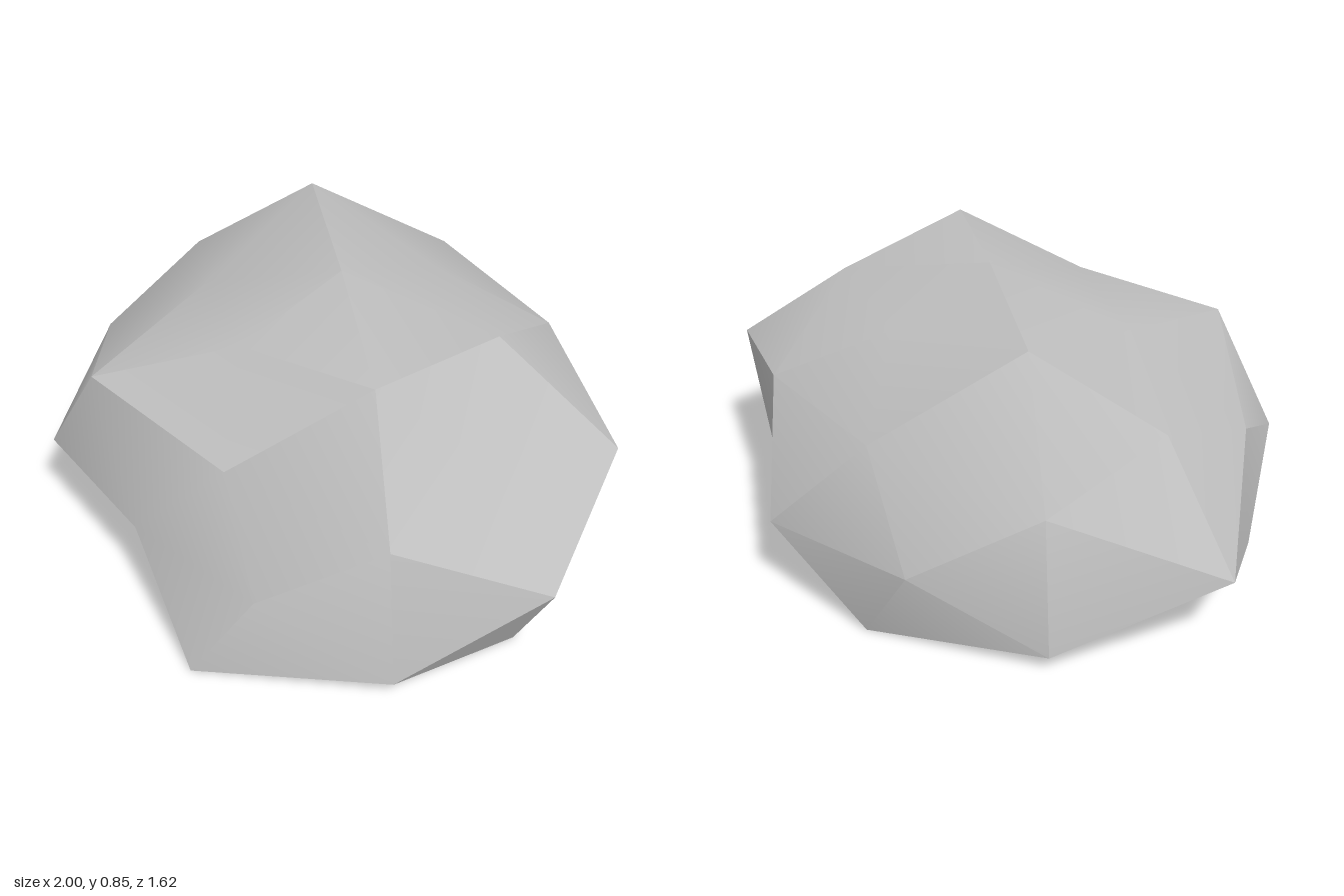
import * as THREE from 'three';
import { toCreasedNormals } from 'three/addons/utils/BufferGeometryUtils.js';

// Boulder radii for each family of sphere directions. Within a family the radii
// follow the signs of the non-zero axes: + before -, with z changing fastest.
const FAMILIES = [
  { dir: [0.5, 0.809, 0.309], radii: [0.96, 0.86, 0.85, 1.0, 0.78, 1.01, 0.85, 0.85] },
  { dir: [0.309, 0.5, 0.809], radii: [0.855, 0.857, 1.135, 0.727, 0.965, 0.925, 0.81, 0.98] },
  { dir: [0.809, 0.309, 0.5], radii: [0.865, 0.94, 0.963, 0.78, 0.88, 0.89, 0.92, 0.965] },
  { dir: [0.851, 0.526, 0], radii: [0.765, 0.95, 0.905, 0.8] },
  { dir: [0, 0.851, 0.526], radii: [0.79, 0.79, 0.85, 0.85] },
  { dir: [0.526, 0, 0.851], radii: [0.89, 0.745, 0.975, 0.91] },
  { dir: [1, 0, 0], radii: [0.95, 1.05] },
  { dir: [0, 1, 0], radii: [0.836, 0.9] },
  { dir: [0, 0, 1], radii: [0.853, 0.92] },
];
const CENTRE = new THREE.Vector3(0.05, 0.26, 0);
const SCALE = new THREE.Vector3(1, 0.7, 0.88);

function radiusAt(v) {
  const d = v.toArray();
  const family = FAMILIES.find(f => f.dir.every((c, i) => Math.abs(Math.abs(d[i]) - c) < 0.02));
  let index = 0;
  family.dir.forEach((c, i) => { if (c > 0) index = index * 2 + (d[i] < 0 ? 1 : 0); });
  return family.radii[index];
}

export function createModel() {
  const group = new THREE.Group();
  group.name = 'boulder';
  const stone = new THREE.MeshStandardMaterial({ color: 0xbfbfbf });
  stone.name = 'light grey stone';

  // Faceted sphere pushed in and out, squashed, and cut flat at the ground
  const geometry = new THREE.IcosahedronGeometry(1, 1).rotateY(Math.PI / 2);
  const position = geometry.attributes.position;
  const v = new THREE.Vector3();
  for (let i = 0; i < position.count; i++) {
    v.fromBufferAttribute(position, i);
    v.multiplyScalar(radiusAt(v)).multiply(SCALE).add(CENTRE);
    position.setXYZ(i, v.x, Math.max(0, v.y), v.z);
  }

  // Soft shading across shallow edges, sharp ridges elsewhere
  const rock = new THREE.Mesh(toCreasedNormals(geometry, Math.PI / 6), stone);
  rock.name = 'rock';
  group.add(rock);
  return group;
}
